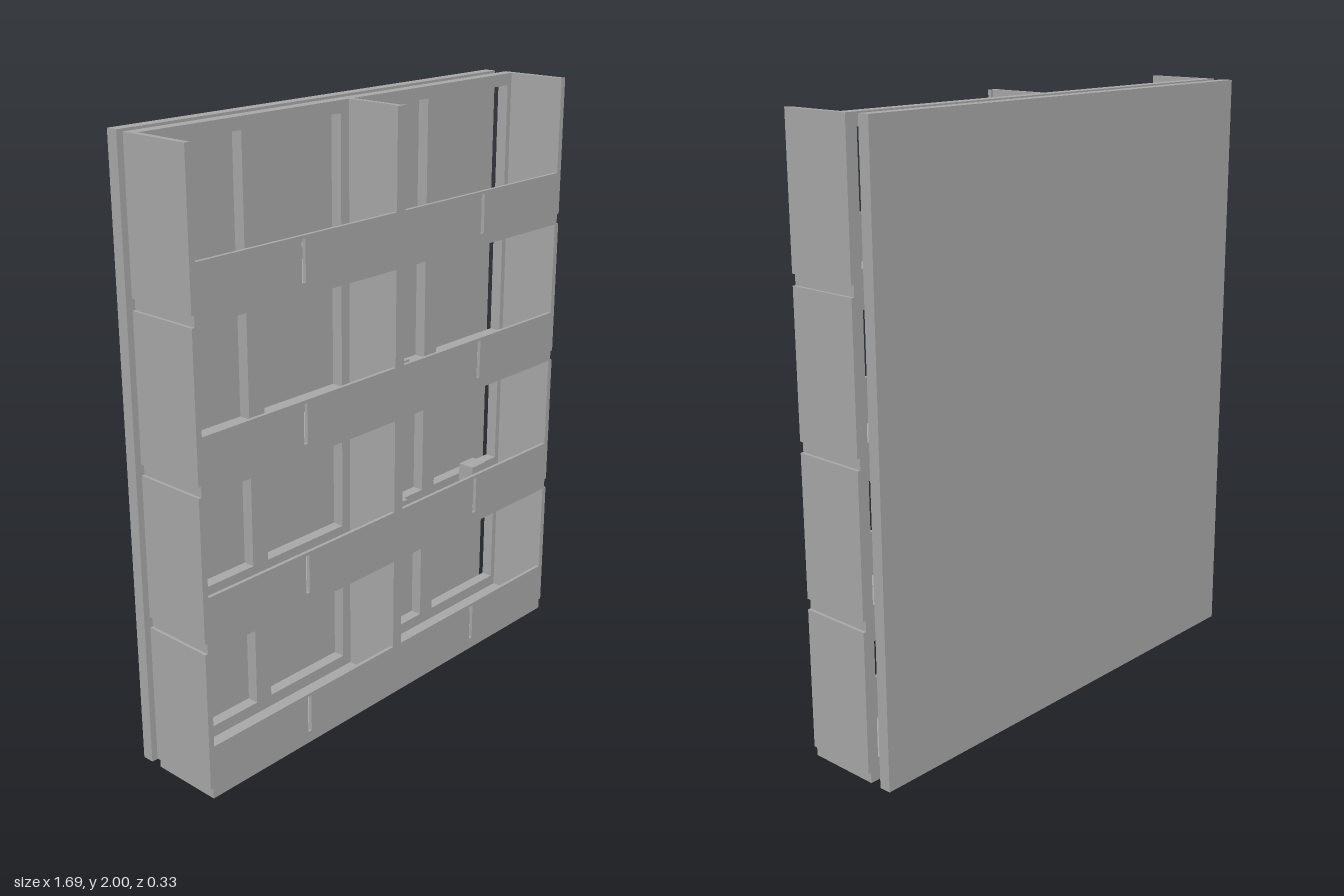
import * as THREE from 'three';

export function createModel() {
  const root = new THREE.Group();
  const grey = new THREE.MeshStandardMaterial({ color: 0xa8a8a8 });
  grey.name = 'grey';

  // Box given by its minimum and maximum corners
  function box(parent, name, x0, x1, y0, y1, z0, z1) {
    const mesh = new THREE.Mesh(new THREE.BoxGeometry(x1 - x0, y1 - y0, z1 - z0), grey);
    mesh.position.set((x0 + x1) / 2, (y0 + y1) / 2, (z0 + z1) / 2);
    mesh.name = name;
    parent.add(mesh);
  }

  function rect(path, x0, x1, y0, y1) {
    path.moveTo(x0, y0);
    path.lineTo(x1, y0);
    path.lineTo(x1, y1);
    path.lineTo(x0, y1);
    path.closePath();
    return path;
  }

  // Upright sheet with rectangular holes
  function sheet(parent, name, outer, holes, z0, z1) {
    const shape = rect(new THREE.Shape(), ...outer);
    for (const h of holes) shape.holes.push(rect(new THREE.Path(), ...h));
    const mesh = new THREE.Mesh(
      new THREE.ExtrudeGeometry(shape, { depth: z1 - z0, bevelEnabled: false }), grey);
    mesh.position.z = z0;
    mesh.name = name;
    parent.add(mesh);
  }

  const W = 0.835, FRONT = 0.165, BACK = -0.085, FRAME = -0.045;
  const openings = [[-0.805, -0.45], [-0.385, -0.035], [0.03, 0.38], [0.445, 0.805]];

  for (let i = 0; i < 4; i++) {
    const tier = new THREE.Group();
    tier.name = 'tier' + (i + 1);
    tier.position.y = i * 0.5;
    root.add(tier);

    box(tier, 'shelf', -W, W, 0, 0.035, BACK, FRONT);

    // Open back frame, two openings to each bay
    sheet(tier, 'backFrame', [-W, W, 0.035, 0.5],
      openings.map(([a, b]) => [a, b, 0.075, 0.46]), BACK, FRAME);

    // Low front panel with a narrow slot in each bay
    sheet(tier, 'frontPanel', [-W, W, 0.035, 0.18],
      [-0.415, 0.415].map(x => [x - 0.008, x + 0.008, 0.04, 0.17]), 0.153, FRONT);

    for (const s of [-1, 1]) {
      const a = s * 0.825, b = s * 0.845;
      box(tier, 'sidePanel', Math.min(a, b), Math.max(a, b), 0.035, 0.5, BACK, FRONT);
    }

    // Middle divider with a narrow front flange
    box(tier, 'divider', 0.002, 0.02, 0.035, 0.5, FRAME, 0.153);
    box(tier, 'dividerFlange', -0.01, 0.03, 0.18, 0.5, 0.153, FRONT);
  }

  // Loose blocks on the shelves: x, z, base, width, depth, height
  const blocks = [
    [0.53, 0.063, 1.535, 0.11, 0.055, 0.05],
    [0.107, 0.06, 1.035, 0.075, 0.06, 0.12],
    [0.107, 0.06, 0.535, 0.075, 0.06, 0.12],
    [0.53, 0.063, 0.535, 0.075, 0.06, 0.13],
  ];
  for (const [x, z, y, w, d, h] of blocks)
    box(root, 'block', x - w / 2, x + w / 2, y, y + h, z - d / 2, z + d / 2);

  // Separate wall board behind the unit
  box(root, 'backBoard', -W, W, 0, 2, -0.165, -0.125);
  return root;
}
